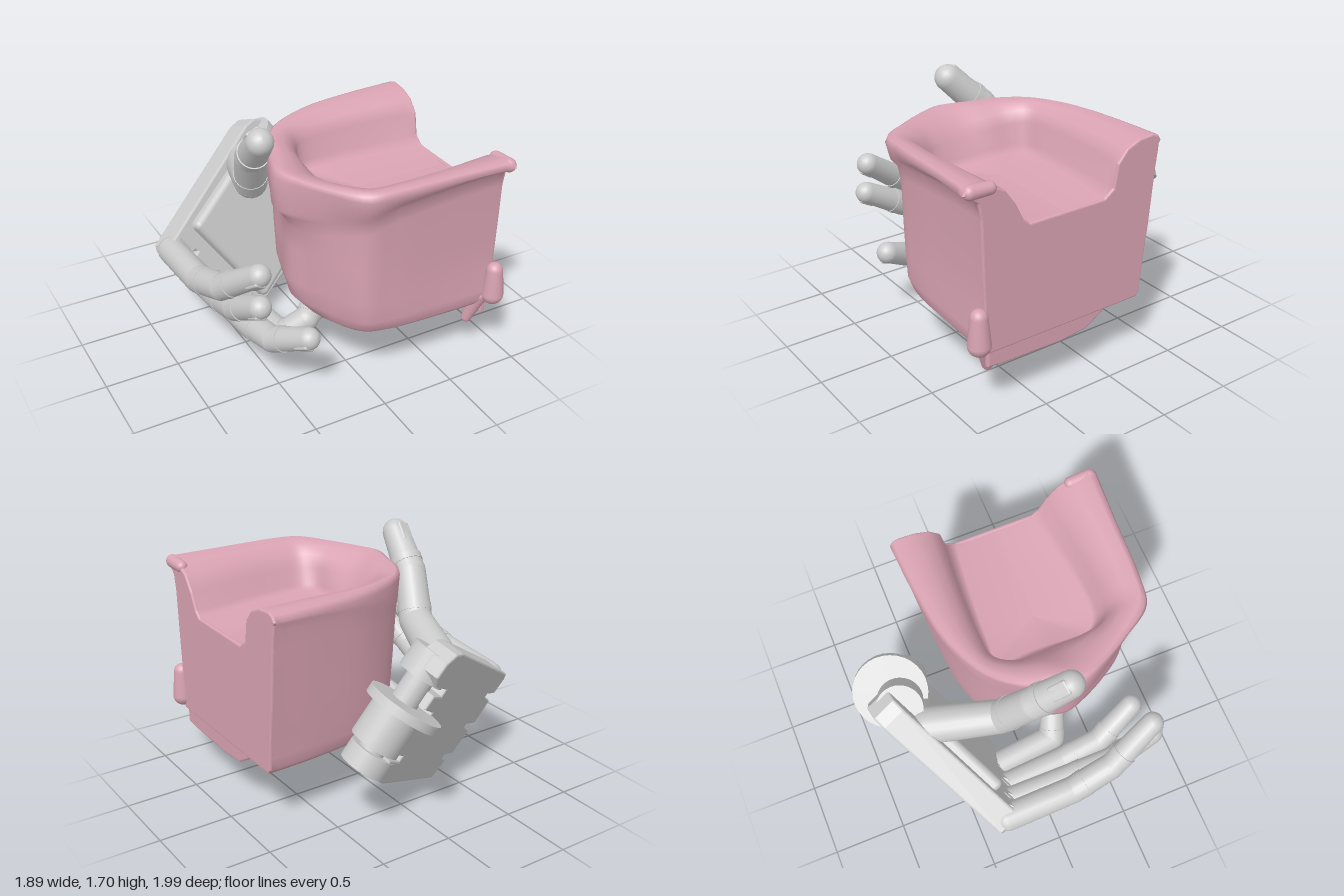
import * as THREE from 'three';
import { RoundedBoxGeometry } from 'three/addons/geometries/RoundedBoxGeometry.js';

const V = (x, y, z) => new THREE.Vector3(x, y, z);
const grey = new THREE.MeshStandardMaterial({ color: 0xcccccc });
const pink = new THREE.MeshStandardMaterial({ color: 0xd9a3b3 });

function add(parent, name, geometry, material = grey) {
  const mesh = new THREE.Mesh(geometry, material);
  mesh.name = name;
  parent.add(mesh);
  return mesh;
}

const curve = (pts) => new THREE.CatmullRomCurve3(pts.map(([x, z]) => V(x, 0, z)));

// Cross-section of the chair at t along its U-shaped plan: under side, outer wall, rolled rim, seat
function chairSection(outer, inner, t) {
  const o = outer.getPoint(t), n = inner.getPoint(t);
  const back = Math.sin(Math.PI * t) ** 2;
  const far = Math.max(0, Math.cos(Math.PI * t)), near = Math.max(0, -Math.cos(Math.PI * t));
  const lip = THREE.MathUtils.lerp(1.38, 1.16, back);
  const mid = Math.max(n.x, 0.2);
  const rows = [
    [0.32 + 0.38 * back, 0.41], [0.27 + 0.23 * back, 0.44], [0.25 + 0.09 * back, 0.52],
    [0.25 - 0.03 * far + 0.05 * near, 0.66], [0.25 - 0.1 * far + 0.03 * near, 0.9],
    [0.24 - 0.17 * far + 0.02 * near, lip - 0.1], [0.14 - 0.1 * far + 0.08 * near, lip],
    [0.03 + 0.06 * near, lip + 0.05], [0, 1.45], [0.05, 1.485], [0.15, 1.5],
    [0.4, 1.475 + 0.015 * far], [0.62, 1.42 + 0.03 * far], [0.78, 1.32 + 0.05 * far],
    [0.9 - 0.06 * far, 1.21 + 0.01 * far], [1, 1.17],
  ];
  const pts = rows.map(([k, y], j) => {
    const p = o.clone().lerp(n, k);
    const lump = 0.008 * Math.sin(17 * t + j * 1.3) * Math.sin(Math.PI * t);
    p.x += lump;
    p.y = y - 0.03 * back * (y > 1.4) + lump * 0.5;
    return p;
  });
  return [V(mid, 0.41, 0.27), ...pts, V(mid, 1.16, 0.27)];
}

function buildChair() {
  const chair = new THREE.Group();
  chair.name = 'armchair';
  const outer = curve([[0.87, -0.44], [0.5, -0.415], [0.15, -0.36], [-0.15, -0.22], [-0.3, -0.04], [-0.37, 0.15],
    [-0.43, 0.34], [-0.37, 0.5], [-0.25, 0.7], [-0.1, 0.9], [0.1, 0.94], [0.5, 0.96], [0.87, 0.985]]);
  const inner = curve([[0.87, -0.01], [0.5, -0.05], [0.15, -0.07], [0, -0.07], [-0.03, 0], [-0.03, 0.14],
    [-0.03, 0.3], [-0.03, 0.45], [-0.02, 0.57], [0.05, 0.62], [0.2, 0.63], [0.5, 0.6], [0.87, 0.54]]);
  const N = 72, sections = [];
  for (let i = 0; i <= N; i++) sections.push(chairSection(outer, inner, i / N));
  const M = sections[0].length, pos = [], index = [];
  sections.forEach((s) => s.forEach((p) => pos.push(p.x, p.y, p.z)));
  for (let i = 0; i < N; i++) {
    for (let j = 0; j < M - 1; j++) {
      const a = i * M + j, b = a + M;
      index.push(a, b, a + 1, b, b + 1, a + 1);
    }
  }
  const body = new THREE.BufferGeometry();
  body.setAttribute('position', new THREE.Float32BufferAttribute(pos, 3));
  body.setIndex(index);
  body.computeVertexNormals();
  add(chair, 'upholsteredBody', body, pink);

  // Flat front closing both arm ends and the seat edge
  const ends = [...sections[0].slice(1, -1), ...sections[N].slice(1, -1).reverse()];
  const face = new THREE.Shape(ends.map((p) => new THREE.Vector2(-p.z, p.y)));
  const panel = new THREE.ExtrudeGeometry(face, {
    depth: 0.005, bevelThickness: 0.012, bevelSize: 0.012, bevelOffset: -0.012, bevelSegments: 3 });
  panel.rotateY(Math.PI / 2);
  add(chair, 'frontPanel', panel, pink).position.x = 0.866;

  // Ragged skirt below the front edge
  const skirt = new THREE.Shape([[-0.82, 0.5], [-0.82, 0.32], [-0.72, 0.31], [-0.3, 0.3], [-0.1, 0.32],
    [0.0, 0.38], [0.06, 0.42], [0.1, 0.5]].map(([x, y]) => new THREE.Vector2(x, y)));
  const skirtGeo = new THREE.ExtrudeGeometry(skirt, {
    depth: 0.02, bevelThickness: 0.01, bevelSize: 0.01, bevelSegments: 2 });
  skirtGeo.rotateY(Math.PI / 2);
  add(chair, 'frontSkirt', skirtGeo, pink).position.x = 0.84;

  // Melted foot bulge, drips and the thick near rim end
  limb(chair, 'cornerBulge', V(0.87, 0.67, 0.89), V(0.87, 0.49, 0.89), 0.055, 0.073, pink);
  limb(chair, 'cornerDrip', V(0.82, 0.46, 0.82), V(0.77, 0.26, 0.77), 0.06, 0.035, pink);
  limb(chair, 'underDrip', V(0.12, 0.42, 0.16), V(0.1, 0.39, 0.08), 0.06, 0.04, pink);
  limb(chair, 'rimEnd', V(0.86, 1.455, 0.93), V(0.86, 1.45, 0.8), 0.045, 0.04, pink);
  return chair;
}

// Tapered, round-ended segment between two points
function limb(parent, name, a, b, ra, rb, material = grey) {
  const len = a.distanceTo(b), profile = [], n = 6;
  for (let i = 0; i <= n; i++) {
    const w = (i / n) * Math.PI / 2;
    profile.push(new THREE.Vector2(ra * Math.sin(w), -ra * Math.cos(w)));
  }
  for (let i = 0; i <= n; i++) {
    const w = (i / n) * Math.PI / 2;
    profile.push(new THREE.Vector2(rb * Math.cos(w), len + rb * Math.sin(w)));
  }
  const mesh = add(parent, name, new THREE.LatheGeometry(profile, 20), material);
  mesh.position.copy(a);
  mesh.quaternion.setFromUnitVectors(V(0, 1, 0), b.clone().sub(a).normalize());
  return mesh;
}

// Jointed finger: segments, joint collars and a nail plate
function buildFinger(name, points, radii, nailSide) {
  const finger = new THREE.Group();
  finger.name = name;
  const p = points.map((q) => V(...q));
  for (let i = 0; i < p.length - 1; i++) {
    limb(finger, 'fingerSegment', p[i], p[i + 1], radii[i], radii[i + 1]);
    if (i === 0) continue;
    const collar = add(finger, 'jointCollar', new THREE.CylinderGeometry(radii[i] * 1.02, radii[i] * 1.02, 0.05, 20));
    collar.position.copy(p[i]).lerp(p[i + 1], 0.25);
    collar.quaternion.setFromUnitVectors(V(0, 1, 0), p[i + 1].clone().sub(p[i]).normalize());
  }
  const tip = p[p.length - 1], r = radii[radii.length - 1];
  const along = tip.clone().sub(p[p.length - 2]).normalize();
  const out = V(...nailSide).addScaledVector(along, -V(...nailSide).dot(along)).normalize();
  const nail = add(finger, 'nail', new RoundedBoxGeometry(r * 1.1, r * 1.6, 0.03, 3, 0.014));
  nail.quaternion.setFromRotationMatrix(new THREE.Matrix4().makeBasis(along.clone().cross(out), along, out));
  nail.position.copy(tip).addScaledVector(out, r * 0.84).addScaledVector(along, -r * 0.5);
  return finger;
}

function buildHand() {
  const hand = new THREE.Group();
  hand.name = 'roboticHand';

  // Palm frame: a runs to the wrist, b to the first finger, c out of the palm
  const a = V(0.78, 0.46, -0.44).normalize();
  const c = V(0.29, 0.36, 0.885).normalize();
  const palm = new THREE.Group();
  palm.name = 'palm';
  palm.quaternion.setFromRotationMatrix(new THREE.Matrix4().makeBasis(a, c.clone().cross(a), c));
  hand.add(palm);

  // Back plate with slots between the knuckles and notches at the wrist
  const outline = [[-0.23, 1.13], [-0.25, 1.1], [-0.24, 0.99], [-0.11, 0.97], [-0.11, 0.93], [-0.25, 0.91],
    [-0.26, 0.74], [-0.11, 0.72], [-0.11, 0.68], [-0.24, 0.66], [-0.23, 0.48], [-0.09, 0.46], [-0.09, 0.42],
    [-0.18, 0.4], [-0.15, 0.27], [0.68, 0.22], [0.78, 0.24], [0.8, 0.37], [0.65, 0.37], [0.65, 0.43],
    [0.82, 0.44], [0.82, 0.64], [0.65, 0.65], [0.65, 0.76], [0.8, 0.77], [0.8, 0.85], [0.68, 0.86],
    [0.68, 0.93], [0.88, 0.93], [0.94, 0.98], [0.94, 1.07], [0.88, 1.14], [0.8, 1.16]];
  const plate = new THREE.ExtrudeGeometry(new THREE.Shape(outline.map((q) => new THREE.Vector2(...q))), {
    depth: 0.15, bevelThickness: 0.015, bevelSize: 0.012, bevelSegments: 2 });
  add(palm, 'backPlate', plate).position.z = -0.4;
  const pad = add(palm, 'palmPad', new RoundedBoxGeometry(0.7, 0.8, 0.12, 3, 0.04));
  pad.position.set(0.32, 0.7, -0.225);

  // Hinge barrels: four knuckles, then the wrist prongs with a wide middle disc
  for (const [name, x, b, r, h, z] of [
    ['knuckle', -0.19, 1.06, 0.09, 0.12, -0.31], ['knuckle', -0.2, 0.825, 0.09, 0.14, -0.31],
    ['knuckle', -0.18, 0.57, 0.09, 0.14, -0.31], ['knuckle', -0.11, 0.335, 0.09, 0.12, -0.31],
    ['wristProng', 0.81, 1.0, 0.15, 0.18, -0.265], ['wristDisc', 0.86, 0.7, 0.25, 0.06, -0.31],
    ['wristHub', 0.8, 0.53, 0.165, 0.26, -0.26], ['wristProng', 0.78, 0.3, 0.155, 0.13, -0.27]]) {
    add(palm, name, new THREE.CylinderGeometry(r, r, h, 32)).position.set(x, b, z);
  }
  const pin = add(palm, 'wristPin', new THREE.CylinderGeometry(0.09, 0.09, 0.8, 20));
  pin.position.set(0.81, 0.65, -0.27);

  // Fingers and thumb
  const radii = [0.092, 0.09, 0.085, 0.072];
  const fingers = {
    firstFinger: [[-0.86, 0.66, -0.34], [-0.86, 0.7, 0.12], [-0.83, 0.8, 0.4], [-0.72, 1.03, 0.71]],
    secondFinger: [[-0.72, 0.46, -0.28], [-0.74, 0.54, 0.15], [-0.76, 0.65, 0.44], [-0.73, 0.82, 0.73]],
    thirdFinger: [[-0.57, 0.26, -0.28], [-0.55, 0.29, 0.2], [-0.53, 0.35, 0.48], [-0.42, 0.5, 0.76]],
    littleFinger: [[-0.37, 0.105, -0.25], [-0.33, 0.14, 0.22], [-0.18, 0.26, 0.28], [-0.02, 0.34, 0.18]],
  };
  for (const [name, pts] of Object.entries(fingers)) hand.add(buildFinger(name, pts, radii, [-0.2, -0.4, 0.9]));
  hand.add(buildFinger('thumb',
    [[-0.19, 1.03, -0.62], [-0.34, 1.12, -0.18], [-0.42, 1.4, 0], [-0.46, 1.61, 0.22]],
    [0.125, 0.11, 0.105, 0.088], [-0.2, 0.8, 0.5]));
  return hand;
}

export function createModel() {
  const model = new THREE.Group();
  model.name = 'handHoldingArmchair';
  model.add(buildChair(), buildHand());
  return model;
}
